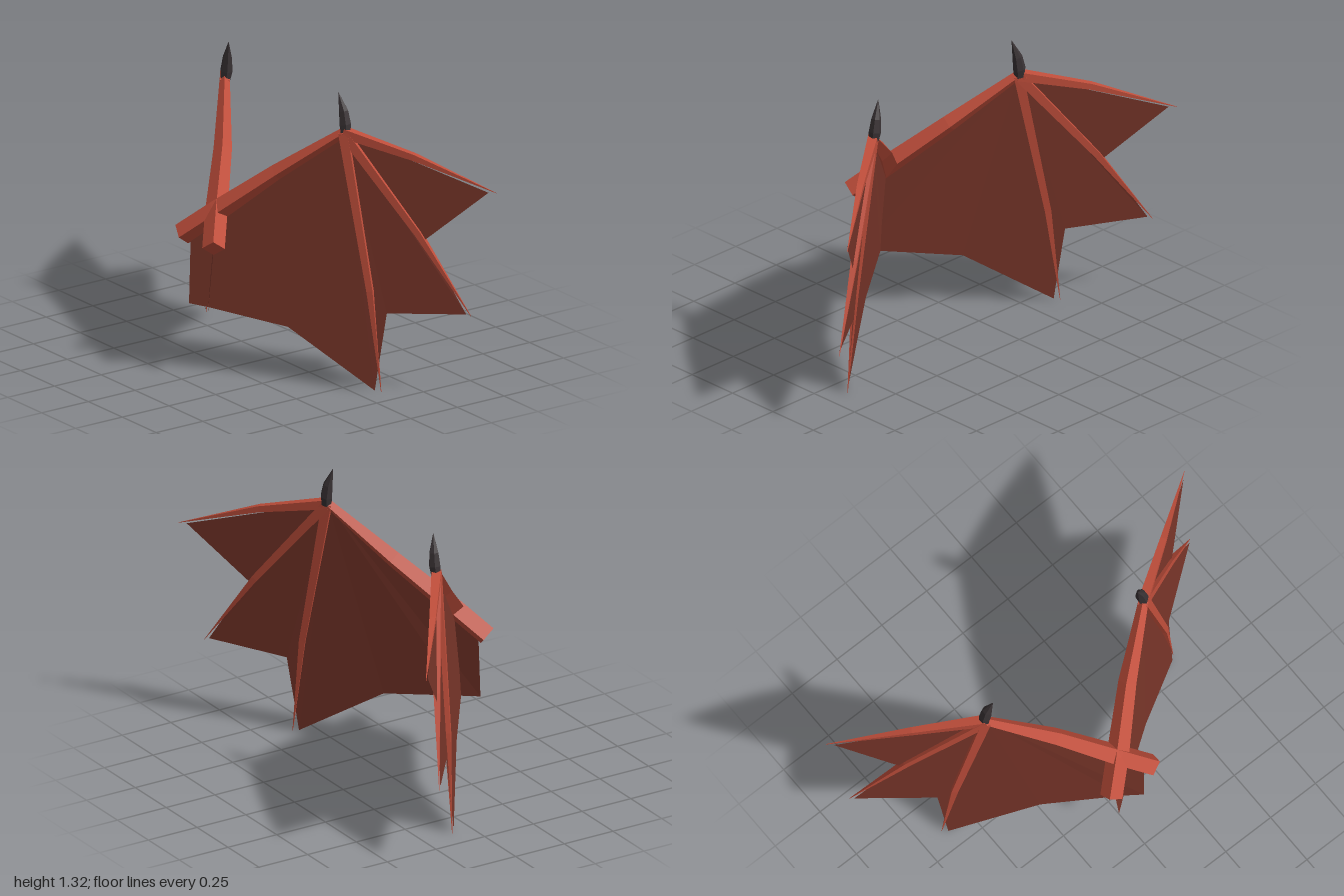
import * as THREE from 'three';

const V = (p) => new THREE.Vector3(...p);
const boneMat = new THREE.MeshStandardMaterial({ color: 0xc04e3b, flatShading: true });
boneMat.name = 'boneRed';
const skinMat = new THREE.MeshStandardMaterial({ color: 0x783529, flatShading: true, side: THREE.DoubleSide });
skinMat.name = 'membraneBrown';
const clawMat = new THREE.MeshStandardMaterial({ color: 0x3a3335, flatShading: true });
clawMat.name = 'clawBlack';

// Geometry from points and faces; side = -1 mirrors it in x and flips the faces
function build(points, faces, side) {
  const pos = [];
  for (const [a, b, c] of faces) {
    for (const i of side > 0 ? [a, b, c] : [a, c, b]) pos.push(points[i].x * side, points[i].y, points[i].z);
  }
  const g = new THREE.BufferGeometry();
  g.setAttribute('position', new THREE.Float32BufferAttribute(pos, 3));
  g.computeVertexNormals();
  return g;
}

// Tapered faceted beam along a path; hint turns the cross-section
function beam(path, radii, hint, sides, side) {
  const centres = path.map(V);
  const d = centres[centres.length - 1].clone().sub(centres[0]).normalize();
  const u = V(hint).addScaledVector(d, -V(hint).dot(d)).normalize();
  const v = d.clone().cross(u);
  const points = [], faces = [];
  centres.forEach((c, k) => {
    for (let i = 0; i < sides; i++) {
      const a = ((i + 0.5) / sides) * Math.PI * 2;
      points.push(c.clone().addScaledVector(u, Math.cos(a) * radii[k]).addScaledVector(v, Math.sin(a) * radii[k]));
    }
  });
  for (let k = 0; k < centres.length - 1; k++) {
    for (let i = 0; i < sides; i++) {
      const a = k * sides + i, b = k * sides + ((i + 1) % sides);
      faces.push([a, b, b + sides], [a, b + sides, a + sides]);
    }
  }
  const end = (centres.length - 1) * sides;
  for (let i = 1; i < sides - 1; i++) faces.push([0, i + 1, i], [end, end + i, end + i + 1]);
  return build(points, faces, side);
}

const wrist = [0.44, 1.145, -0.05];
const normal = [0.62, 0, 0.78];

// Finger bones: bend and tip
const fingers = [
  ['upperFinger', [0.7, 1.068, -0.235], [1.0, 0.94, -0.46]],
  ['middleFinger', [0.735, 0.725, -0.235], [0.95, 0.38, -0.36]],
  ['lowerFinger', [0.585, 0.45, -0.085], [0.645, 0.0, -0.1]],
];

// Membrane outline, fanned from the wrist
const outline = [
  wrist, [0.2, 0.92, 0.135], [-0.085, 0.61, 0.39], [-0.07, 0.31, 0.41], [0, 0.3, 0.355],
  [0.295, 0.25, 0.145], [0.625, 0.005, -0.08], [0.645, 0.355, -0.13], [0.935, 0.388, -0.345],
  [0.76, 0.7, -0.25], [0.975, 0.94, -0.435],
];

function wing(side) {
  const group = new THREE.Group();
  group.name = side > 0 ? 'leftWing' : 'rightWing';
  const add = (name, geometry, material) => {
    const mesh = new THREE.Mesh(geometry, material);
    mesh.name = name;
    group.add(mesh);
  };

  // Arm bone, crossing the other one at the front
  add('arm', beam([[-0.117, 0.615, 0.415], [0, 0.73, 0.315], [0.2, 0.928, 0.135], wrist],
    [0.049, 0.049, 0.04, 0.022], [-0.029, 0.018, -0.009], 4, side), boneMat);

  for (const [name, bend, tip] of fingers) {
    add(name, beam([wrist, bend, tip], [0.03, 0.02, 0.001], normal, 4, side), boneMat);
  }

  // Thumb claw on the wrist
  add('claw', beam([[0.443, 1.14, -0.055], [0.438, 1.18, -0.058], [0.428, 1.24, -0.056], [0.405, 1.32, -0.045]],
    [0.024, 0.028, 0.022, 0.001], [1, 0, 0], 6, side), clawMat);

  const faces = [];
  for (let i = 1; i < outline.length - 1; i++) faces.push([0, i, i + 1]);
  add('membrane', build(outline.map(V), faces, side), skinMat);
  return group;
}

export function createModel() {
  const model = new THREE.Group();
  model.name = 'wings';
  model.add(wing(1), wing(-1));
  return model;
}
